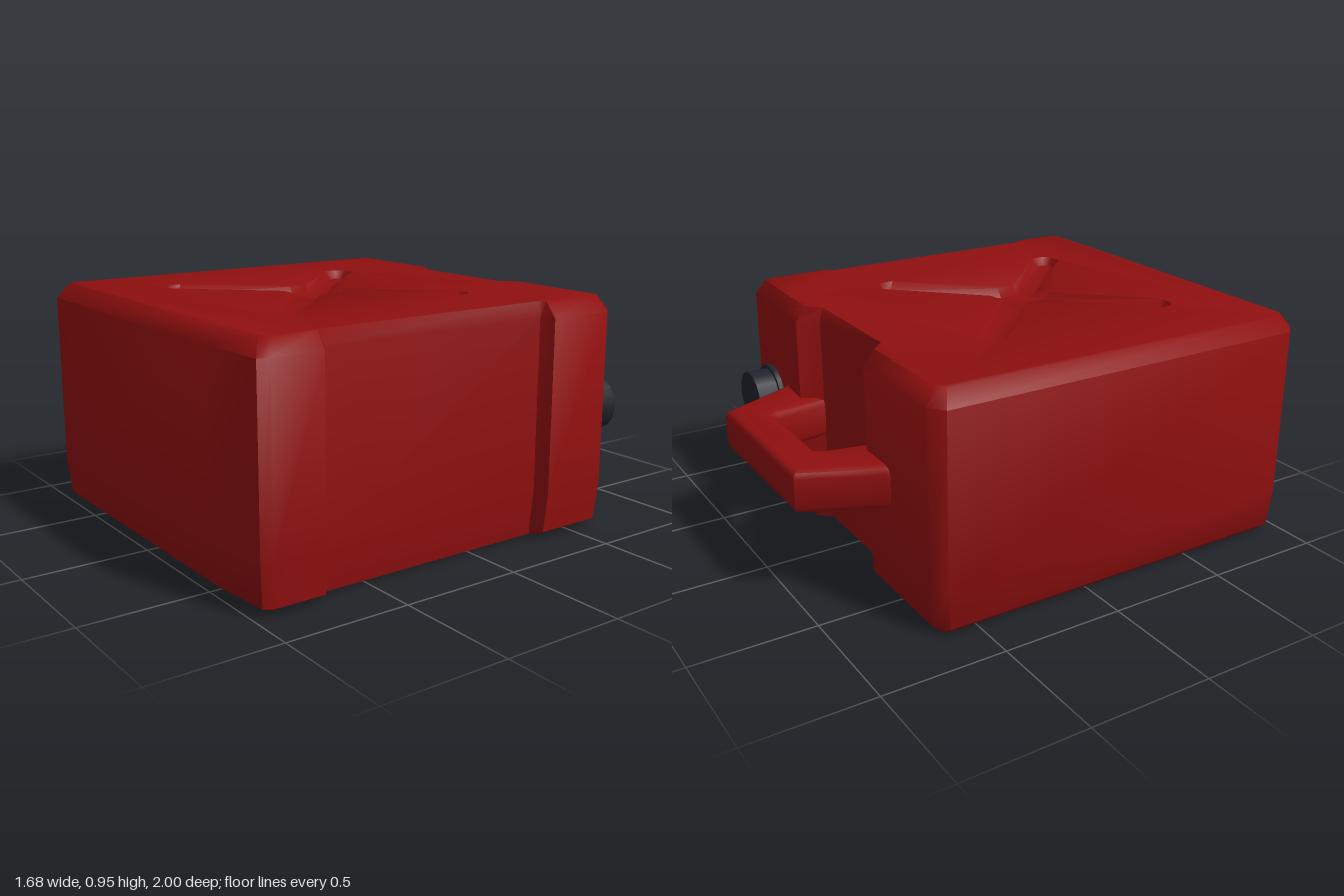
import * as THREE from 'three';
import { mergeGeometries, toCreasedNormals } from 'three/addons/utils/BufferGeometryUtils.js';

// Each row: widest outline x, z, then the matching edge of the flat face x, z
const OUTLINE = [
  [-0.84, -0.64, -0.79, -0.61], [-0.84, 0.94, -0.79, 0.92], [-0.78, 1.0, -0.76, 0.95],
  [0.5, 1.0, 0.5, 0.95], [0.82, 0.98, 0.77, 0.94], [0.84, 0.94, 0.79, 0.91],
  [0.84, 0.73, 0.79, 0.73], [0.78, 0.7, 0.765, 0.7], [0.78, -0.31, 0.765, -0.31],
  [0.84, -0.33, 0.79, -0.33], [0.84, -0.62, 0.79, -0.59], [0.8, -0.665, 0.77, -0.63],
  [0.5, -0.67, 0.5, -0.635], [0.31, -0.685, 0.31, -0.64], [0.26, -0.6, 0.26, -0.585],
  [-0.26, -0.6, -0.26, -0.585], [-0.31, -0.685, -0.31, -0.64], [-0.78, -0.685, -0.76, -0.64],
];
const HEIGHT = 0.955, GROOVE = 0.035, CENTRE_Z = 0.21;

// One arm of the pressed cross, repeated by quarter turns
function cross(arm) {
  const pts = [];
  for (let q = 0; q < 4; q++) {
    for (let [x, z] of arm) {
      for (let k = 0; k < q; k++) [x, z] = [-z, x];
      pts.push([x, z + CENTRE_Z]);
    }
  }
  return pts;
}
const RIM = cross([[0.04, -0.12], [0.37, -0.46], [0.43, -0.46], [0.46, -0.43], [0.46, -0.37], [0.12, -0.04]]);
const FLOOR = cross([[0.04, -0.09], [0.39, -0.44], [0.42, -0.44], [0.44, -0.42], [0.44, -0.39], [0.09, -0.04]]);

// Side walls through rings of { pts, y }, listed from bottom to top
function loft(rings) {
  const pos = [];
  for (let r = 0; r + 1 < rings.length; r++) {
    const a = rings[r], b = rings[r + 1], n = a.pts.length;
    const at = (ring, i) => [ring.pts[i % n][0], ring.y, ring.pts[i % n][1]];
    for (let i = 0; i < n; i++) {
      pos.push(...at(a, i), ...at(a, i + 1), ...at(b, i + 1));
      pos.push(...at(a, i), ...at(b, i + 1), ...at(b, i));
    }
  }
  return new THREE.BufferGeometry().setAttribute('position', new THREE.Float32BufferAttribute(pos, 3));
}

// Flat horizontal face, optionally with a hole
function face(pts, y, up, hole) {
  const to2 = (list) => list.map(([x, z]) => new THREE.Vector2(x, up ? -z : z));
  const shape = new THREE.Shape(to2(pts));
  if (hole) shape.holes.push(new THREE.Path(to2(hole)));
  const g = new THREE.ShapeGeometry(shape).toNonIndexed();
  g.deleteAttribute('uv');
  g.deleteAttribute('normal');
  return g.rotateX(up ? -Math.PI / 2 : Math.PI / 2).translate(0, y, 0);
}

function bodyGeometry() {
  const wide = OUTLINE.map(([x, z]) => [x, z]);
  const flat = OUTLINE.map(([, , x, z]) => [x, z]);
  const taper = wide.map(([x, z]) => [x * 0.985, (z - 0.16) * 0.985 + 0.16]);
  const g = mergeGeometries([
    loft([{ pts: flat, y: 0 }, { pts: taper, y: 0.035 }, { pts: wide, y: 0.2 },
      { pts: wide, y: 0.895 }, { pts: flat, y: HEIGHT }]),
    face(flat, HEIGHT, true, RIM),
    loft([{ pts: FLOOR, y: HEIGHT - GROOVE }, { pts: RIM, y: HEIGHT }]),
    face(FLOOR, HEIGHT - GROOVE, true),
    face(flat, 0, false, RIM),
    loft([{ pts: RIM, y: 0 }, { pts: FLOOR, y: GROOVE }]),
    face(FLOOR, GROOVE, false),
  ]);
  // The underside rises slightly below the spout side
  const p = g.attributes.position;
  for (let i = 0; i < p.count; i++) {
    const s = THREE.MathUtils.clamp((p.getX(i) - 0.5) / 0.27, 0, 1);
    if (p.getY(i) < 0.02) p.setY(i, p.getY(i) + 0.014 * s);
  }
  return toCreasedNormals(g, 0.95);
}

function handleGeometry() {
  const half = [[0.19, -0.845], [0.21, -0.82], [0.26, -0.57], [0.52, -0.57], [0.52, -0.665], [0.485, -0.7], [0.35, -1]];
  const left = half.map(([x, z]) => new THREE.Vector2(x, -z));
  const right = half.map(([x, z]) => new THREE.Vector2(-x, -z)).reverse();
  const bevel = 0.03;
  const g = new THREE.ExtrudeGeometry(new THREE.Shape([...left, ...right]), {
    depth: 0.175 - 2 * bevel, bevelEnabled: true, bevelThickness: bevel,
    bevelSize: bevel, bevelOffset: -bevel, bevelSegments: 2,
  });
  g.rotateX(-Math.PI / 2).translate(0, 0.387 + bevel, 0);
  return toCreasedNormals(g, 0.95);
}

export function createModel() {
  const red = new THREE.MeshStandardMaterial({ color: 0x8f0f0f });
  red.name = 'red plastic';
  const dark = new THREE.MeshStandardMaterial({ color: 0x20222c });
  dark.name = 'dark cap plastic';

  const model = new THREE.Group();
  model.name = 'fuelCan';
  const add = (name, geometry, material) => {
    const mesh = new THREE.Mesh(geometry, material);
    mesh.name = name;
    model.add(mesh);
    return mesh;
  };

  add('body', bodyGeometry(), red);
  add('handle', handleGeometry(), red);

  // Screw cap: a thin flange and a narrower lid facing the back
  const disc = (name, radius, zFront, zBack) => {
    const g = new THREE.CylinderGeometry(radius, radius, zFront - zBack, 16);
    g.rotateX(-Math.PI / 2).translate(0.65, 0.47, (zFront + zBack) / 2);
    add(name, g, dark);
  };
  disc('capFlange', 0.133, -0.65, -0.69);
  disc('capLid', 0.116, -0.68, -0.78);

  return model;
}
